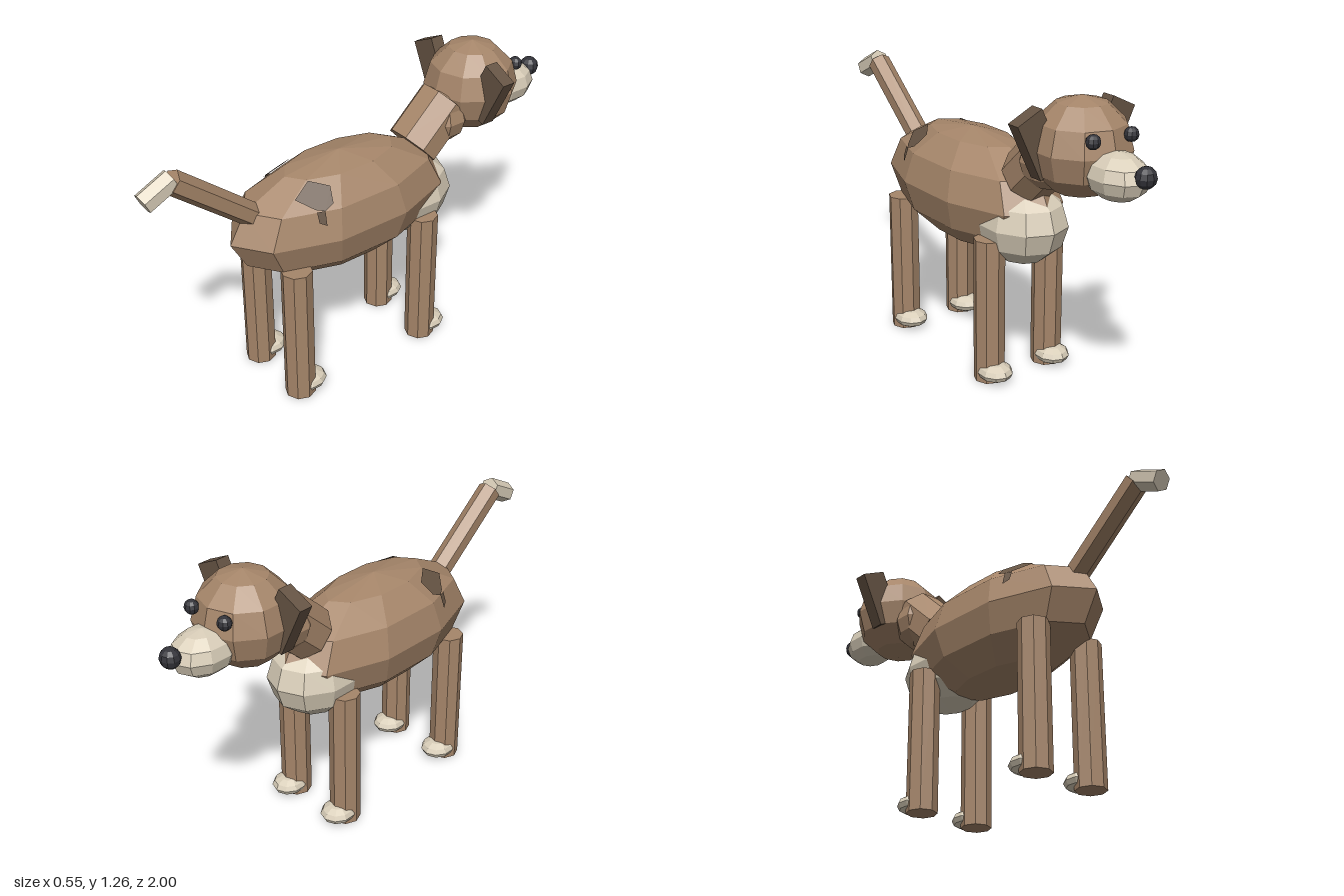
import * as THREE from 'three';

const mat = (name, color, extra = {}) => {
  const m = new THREE.MeshStandardMaterial({ color, flatShading: true, ...extra });
  m.name = name;
  return m;
};

export function createModel() {
  const fur = mat('brown fur', 0xa6866a);
  const darkFur = mat('dark brown fur', 0x665444, { side: THREE.DoubleSide });
  const cream = mat('cream fur', 0xd8cdb8);
  const black = mat('black', 0x34343a);
  const dog = new THREE.Group();
  dog.name = 'dog';

  const add = (name, geometry, material, x = 0, y = 0, z = 0) => {
    const mesh = new THREE.Mesh(geometry, material);
    mesh.name = name;
    mesh.position.set(x, y, z);
    dog.add(mesh);
    return mesh;
  };

  // Low-poly ellipsoid with corners on the z axis
  const blob = (name, material, [x, y, z], [rx, ry, rz]) =>
    add(name, new THREE.SphereGeometry(1, 10, 6).rotateY(Math.PI / 2).scale(rx, ry, rz), material, x, y, z);

  // Prism between two points in the x = 0 plane, given as [y, z]
  const limb = (name, material, a, b, radius, sides) => {
    const dy = b[0] - a[0], dz = b[1] - a[1];
    const geometry = new THREE.CylinderGeometry(radius, radius, Math.hypot(dy, dz), sides);
    const mesh = add(name, geometry, material, 0, (a[0] + b[0]) / 2, (a[1] + b[1]) / 2);
    mesh.rotation.x = Math.atan2(dz, dy);
    return mesh;
  };

  // Torso
  blob('body', fur, [0, 0.74, 0.1], [0.25, 0.25, 0.53]);
  blob('chest', cream, [0, 0.67, -0.24], [0.18, 0.175, 0.22]);

  // Neck and head
  limb('neck', fur, [0.87, -0.287], [1.03, -0.46], 0.118, 8).geometry.rotateY(Math.PI / 8);
  blob('throat', fur, [0, 0.975, -0.43], [0.13, 0.12, 0.125]);
  blob('head', fur, [0, 1.07, -0.605], [0.2, 0.195, 0.2]);
  blob('muzzle', cream, [0, 1.008, -0.81], [0.108, 0.092, 0.14]);
  blob('nose', black, [0, 1.04, -0.96], [0.042, 0.042, 0.04]);

  // Tail
  limb('tail', fur, [0.8, 0.47], [1.12, 0.86], 0.05, 6);
  limb('tailTip', cream, [1.13, 0.855], [1.07, 0.98], 0.045, 6);

  // Flank spot outlines as [z, y], lying on two neighbouring facets of the body
  const upperSpot = [[0.394, 0.91], [0.313, 0.955], [0.244, 0.932], [0.265, 0.884], [0.308, 0.867], [0.34, 0.874]];
  const lowerSpot = [[0.34, 0.867], [0.308, 0.867], [0.313, 0.81], [0.34, 0.825]];
  const spot = (points, side) => {
    const shape = new THREE.Shape(points.map(([z, y]) => new THREE.Vector2(z, y)));
    const geometry = new THREE.ShapeGeometry(shape);
    const p = geometry.attributes.position;
    for (let i = 0; i < p.count; i++) {
      const z = p.getX(i), y = p.getY(i);
      const slope = y > 0.865 ? 1.174 * (0.957 - y) : 0.108 + 0.32 * (0.865 - y);
      p.setXYZ(i, side * (0.081 + 0.348 * (0.314 - z) + slope), y + 0.003, z);
    }
    if (side > 0) geometry.index.array.reverse();
    geometry.computeVertexNormals();
    return geometry;
  };

  for (const side of [-1, 1]) {
    const label = side > 0 ? 'left' : 'right';

    // Face
    blob(label + 'Eye', black, [side * 0.09, 1.14, -0.778], [0.03, 0.029, 0.028]);
    const ear = add(label + 'Ear', new THREE.BoxGeometry(0.12, 0.245, 0.06), darkFur, side * 0.17, 1.095, -0.556);
    ear.rotation.z = -side * 0.45;

    // Flank spots
    add(label + 'UpperSpot', spot(upperSpot, side), darkFur);
    add(label + 'LowerSpot', spot(lowerSpot, side), darkFur);

    // Legs and paws
    for (const [end, z] of [['Front', -0.23], ['Hind', 0.425]]) {
      add(label + end + 'Leg', new THREE.CylinderGeometry(0.065, 0.065, 0.62, 8), fur, side * 0.148, 0.31, z);
      blob(label + end + 'Paw', cream, [side * 0.148, 0.045, z - 0.042], [0.072, 0.04, 0.08]);
    }
  }
  return dog;
}
